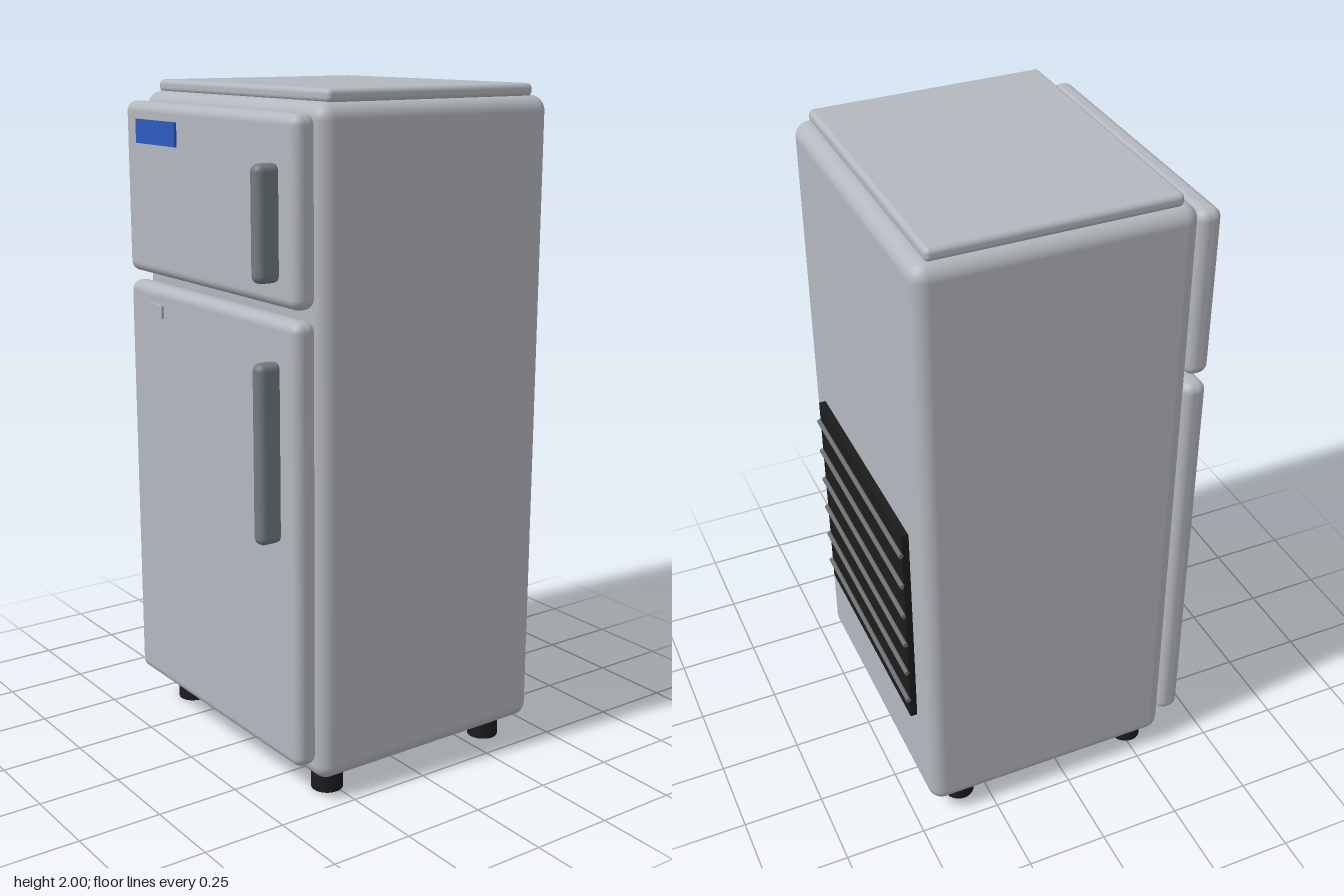
import * as THREE from 'three';
import { RoundedBoxGeometry } from 'three/addons/geometries/RoundedBoxGeometry.js';

const material = (name, color) => {
  const m = new THREE.MeshStandardMaterial({ color });
  m.name = name;
  return m;
};

export function createModel() {
  const enamel = material('grey enamel', 0xb4b7be);
  const handleGrey = material('handle grey', 0x717b7e);
  const black = material('black', 0x1c1c1d);
  const blue = material('blue', 0x2d5dc0);
  const rodGrey = material('rod grey', 0x6c6e71);

  const model = new THREE.Group();
  model.name = 'refrigerator';

  const add = (name, geometry, mat, x = 0, y = 0, z = 0) => {
    const mesh = new THREE.Mesh(geometry, mat);
    mesh.name = name;
    mesh.position.set(x, y, z);
    model.add(mesh);
    return mesh;
  };
  // Box given by its limits on each axis, with an optional edge radius
  const block = (name, mat, [x0, x1], [y0, y1], [z0, z1], radius = 0) => {
    const size = [x1 - x0, y1 - y0, z1 - z0];
    const geometry = radius
      ? new RoundedBoxGeometry(...size, 5, radius)
      : new THREE.BoxGeometry(...size);
    return add(name, geometry, mat, (x0 + x1) / 2, (y0 + y1) / 2, (z0 + z1) / 2);
  };

  // Cabinet and worktop
  block('cabinet', enamel, [-0.47, 0.47], [0.06, 1.967], [-0.452, 0.345], 0.045);
  block('topPanel', enamel, [-0.443, 0.443], [1.962, 2], [-0.408, 0.305], 0.015);

  // Doors, each with an upright handle on the model's left
  const doors = [
    { name: 'freezer', door: [1.43, 1.94], handle: [1.498, 1.812] },
    { name: 'fridge', door: [0.12, 1.4], handle: [0.775, 1.285] },
  ];
  for (const { name, door, handle } of doors) {
    block(name + 'Door', enamel, [-0.456, 0.456], door, [0.345, 0.417], 0.03);
    block(name + 'Handle', handleGrey, [0.331, 0.38], handle, [0.405, 0.483], 0.022);
  }

  // Plates on the doors
  block('bluePlate', blue, [-0.372, -0.145], [1.82, 1.89], [0.416, 0.425]);
  block('smallPlate', enamel, [-0.33, -0.245], [1.307, 1.347], [0.416, 0.425]);

  // Rear grille with horizontal rods
  block('rearGrille', black, [-0.356, 0.356], [0.36, 1.07], [-0.473, -0.445]);
  const rod = new THREE.CylinderGeometry(0.008, 0.008, 0.712, 12).rotateZ(Math.PI / 2);
  for (let i = 0; i < 6; i++) add('grilleRod', rod, rodGrey, 0, 0.43 + i * 0.114, -0.477);

  // Feet
  const foot = new THREE.CylinderGeometry(0.047, 0.047, 0.08, 24);
  for (const x of [-0.383, 0.383])
    for (const z of [-0.333, 0.265]) add('foot', foot, black, x, 0.04, z);

  return model;
}
